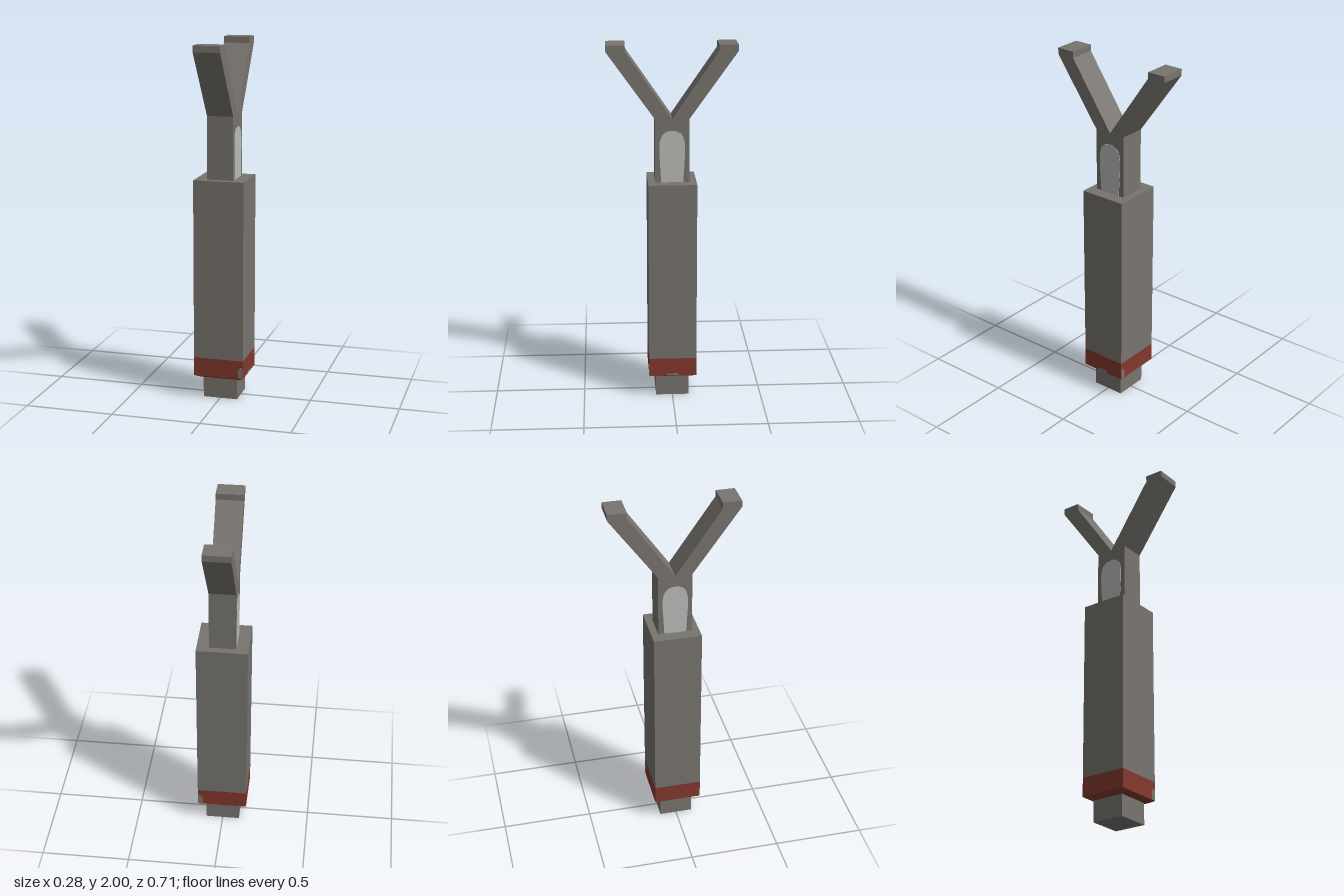
import * as THREE from 'three';

const material = (name, color) => {
  const m = new THREE.MeshStandardMaterial({ color });
  m.name = name;
  return m;
};

export function createModel() {
  const model = new THREE.Group();
  const grey = material('warm grey', 0x78746f);
  const red = material('dark red', 0x82382d);
  const pale = material('pale grey', 0xbabdba);

  const add = (name, geometry, mat) => {
    const mesh = new THREE.Mesh(geometry, mat);
    mesh.name = name;
    model.add(mesh);
    return mesh;
  };
  // Box spanning y0..y1, centred on x and z
  const block = (name, w, d, y0, y1, mat) =>
    add(name, new THREE.BoxGeometry(w, y1 - y0, d).translate(0, (y0 + y1) / 2, 0), mat);
  // Profile drawn in (z, y), extruded along x about the given centre
  const sideExtrude = (shape, width, x) =>
    new THREE.ExtrudeGeometry(shape, { depth: width, bevelEnabled: false, curveSegments: 8 })
      .translate(0, 0, -width / 2).rotateY(-Math.PI / 2).translate(x, 0, 0);

  // Handle, its red collar and the foot
  block('foot', 0.194, 0.186, 0, 0.125, grey);
  block('body', 0.283, 0.265, 0.24, 1.25, grey);
  block('collar', 0.283, 0.265, 0.135, 0.24, red);

  // Chamfered underside of the collar
  const chamfer = block('collarChamfer', 0.283, 0.265, 0.12, 0.135, red).geometry;
  const p = chamfer.attributes.position;
  for (let i = 0; i < p.count; i++) {
    if (p.getY(i) < 0.127) p.setXYZ(i, p.getX(i) * 0.79, p.getY(i), p.getZ(i) * 0.79);
  }
  chamfer.computeVertexNormals();

  // Stem splitting into two arms with flat tips
  const half = [[0.093, 1.25], [0.093, 1.6], [0.353, 1.965], [0.353, 2], [0.25, 2], [0.25, 1.965]];
  const outline = [...half, [0, 1.6], ...half.map(([z, y]) => [-z, y]).reverse()];
  const fork = new THREE.Shape(outline.map(([z, y]) => new THREE.Vector2(z, y)));
  add('fork', sideExtrude(fork, 0.147, 0), grey);

  // Pale round-topped inlay on both sides of the stem
  const inlay = new THREE.Shape();
  inlay.moveTo(-0.06, 1.25);
  inlay.lineTo(0.06, 1.25);
  inlay.lineTo(0.069, 1.4);
  inlay.lineTo(0.069, 1.455);
  inlay.bezierCurveTo(0.066, 1.51, 0.045, 1.535, 0, 1.535);
  inlay.bezierCurveTo(-0.045, 1.535, -0.066, 1.51, -0.069, 1.455);
  inlay.lineTo(-0.069, 1.4);
  for (const s of [1, -1]) {
    add(s > 0 ? 'leftInlay' : 'rightInlay', sideExtrude(inlay, 0.003, s * 0.0745), pale);
  }

  // Small grey notches in the collar paint near the left edge
  const notch = new THREE.Shape([[0.113, 0.138], [0.14, 0.138], [0.14, 0.2], [0.125, 0.2], [0.113, 0.185]]
    .map(([x, y]) => new THREE.Vector2(x, y)));
  for (const s of [1, -1]) {
    const g = new THREE.ExtrudeGeometry(notch, { depth: 0.002, bevelEnabled: false });
    add(s > 0 ? 'frontNotch' : 'backNotch', g.translate(0, 0, s * 0.1325 - 0.001), grey);
  }
  add('sideNotch', new THREE.BoxGeometry(0.002, 0.012, 0.064).translate(0.1415, 0.143, 0), grey);

  return model;
}
